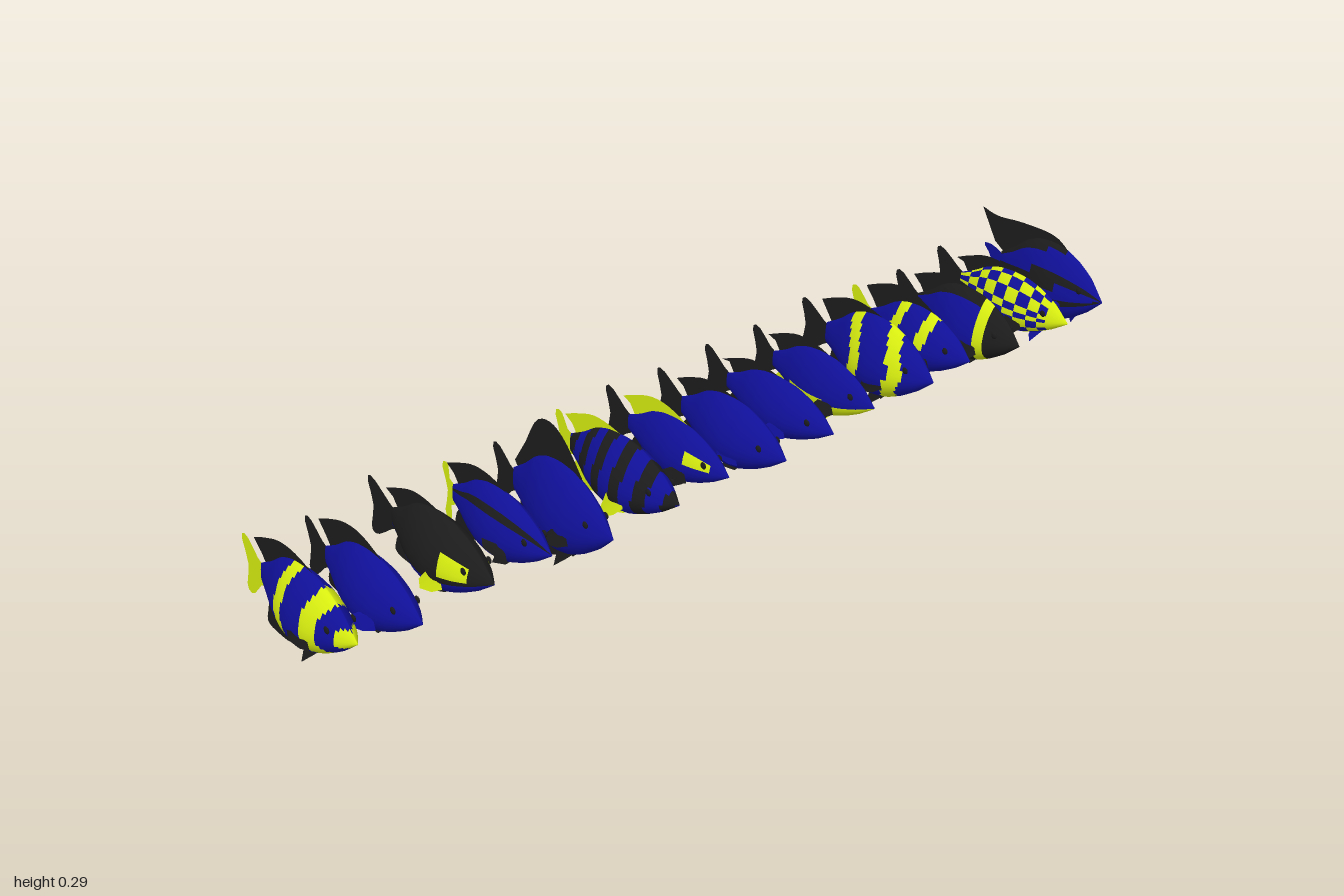
import * as THREE from 'three';

const mat = (color) => new THREE.MeshStandardMaterial({ color, side: THREE.DoubleSide });
const COLORS = { b: mat(0x10109a), y: mat(0xd8ee10), k: mat(0x1c1c1c) };
const KEYS = ['b', 'y', 'k'];
const RINGS = 48, SIDES = 28, TAIL_ROOT = -0.115;

// top, bottom and width fractions of the body from nose to tail root
const TOP = [0.02, 0.5, 0.78, 0.95, 1, 0.97, 0.82, 0.52, 0.28];
const BOTTOM = [0.02, 0.42, 0.72, 0.93, 1, 0.95, 0.75, 0.45, 0.25];
const WIDTH = [0.02, 0.5, 0.8, 0.97, 1, 0.9, 0.68, 0.38, 0.08];
const PROFILE = new THREE.CatmullRomCurve3(TOP.map((t, i) => new THREE.Vector3(t, BOTTOM[i], WIDTH[i])));

const within = (v, lo, hi) => v > lo && v < hi;

// markings: u runs nose to tail, v from -1 (belly) to 1 (back)
const MARKS = {
  plain: () => 'b',
  bands: (u, v) => {
    const s = u + 0.08 * v * v;
    return s < 0.13 || within(s, 0.25, 0.38) || within(s, 0.58, 0.68) ? 'y' : 'b';
  },
  mask: (u, v) => (within(u, 0.15, 0.36) && within(v, -0.2, 0.35) ? 'y' : v < -0.35 ? 'b' : 'k'),
  lines: (u, v) => (within(v, -0.1, 0.1) || within(v, 0.5, 0.65) ? 'k' : 'b'),
  bars: (u, v) => (Math.sin(u * 34 + v) > 0.1 ? 'k' : 'b'),
  cheek: (u, v) => (within(u, 0.12, 0.34) && within(v, -0.1, 0.35) ? 'y' : u > 0.1 && within(v, 0.35, 0.5) ? 'k' : 'b'),
  belly: (u, v) => (v < -0.45 + 0.3 * u && u < 0.75 ? 'y' : 'b'),
  chevrons: (u, v) => {
    const s = u - 0.1 * Math.abs(v);
    return within(s, 0.17, 0.29) || within(s, 0.53, 0.64) ? 'y' : 'b';
  },
  twoBands: (u, v) => (within(u + 0.06 * v, 0.36, 0.45) || within(u + 0.06 * v, 0.64, 0.74) ? 'y' : 'b'),
  collar: (u, v) => (within(u, 0.26, 0.33) ? 'y' : u < 0.26 || v < -0.7 || v > 0.75 ? 'k' : 'b'),
  checks: (u, v) => (u < 0.14 || (Math.floor(u * 10) + Math.floor(v * 3.5 + 10)) % 2 ? 'y' : 'b'),
  stripes: (u, v) => {
    const s = v + 0.25 * (u - 0.5);
    return within(s, 0.08, 0.36) || within(s, -0.45, -0.22) || (u > 0.35 && s > 0.85) ? 'k' : 'b';
  },
};

// x, nose z, tail z, body bottom, body top, half width, dorsal top, anal bottom,
// pectoral tip x and y, markings, colours of dorsal, tail, anal and pectoral fins
const FISH = [
  [-0.95, 0.166, -0.172, 0.085, 0.235, 0.046, 0.25, 0.05, 0.05, 0.12, 'bands', 'kykk'],
  [-0.825, 0.166, -0.176, 0.07, 0.212, 0.044, 0.235, 0.075, 0.06, 0.095, 'plain', 'kkkb'],
  [-0.685, 0.176, -0.188, 0.09, 0.232, 0.048, 0.24, 0.08, 0.055, 0.105, 'mask', 'kkky'],
  [-0.555, 0.166, -0.145, 0.09, 0.225, 0.04, 0.24, 0.08, 0.05, 0.13, 'lines', 'kykk'],
  [-0.42, 0.166, -0.176, 0.045, 0.225, 0.042, 0.295, 0.002, 0.05, 0.08, 'plain', 'kkkk'],
  [-0.285, 0.188, -0.16, 0.085, 0.232, 0.05, 0.24, 0.075, 0.055, 0.085, 'bars', 'yyyy'],
  [-0.145, 0.166, -0.182, 0.09, 0.21, 0.036, 0.228, 0.07, 0.045, 0.105, 'cheek', 'ykkk'],
  [-0.01, 0.176, -0.188, 0.068, 0.208, 0.044, 0.218, 0.065, 0.045, 0.1, 'plain', 'kkkb'],
  [0.11, 0.18, -0.182, 0.09, 0.21, 0.04, 0.218, 0.08, 0.053, 0.1, 'plain', 'kkkb'],
  [0.235, 0.166, -0.176, 0.09, 0.218, 0.034, 0.23, 0.08, 0.05, 0.095, 'belly', 'kkyk'],
  [0.385, 0.18, -0.188, 0.08, 0.248, 0.05, 0.26, 0.05, 0.05, 0.1, 'chevrons', 'kkkk'],
  [0.515, 0.16, -0.172, 0.088, 0.225, 0.042, 0.25, 0.06, 0.05, 0.1, 'twoBands', 'kykk'],
  [0.66, 0.166, -0.182, 0.065, 0.222, 0.044, 0.23, 0.06, 0.06, 0.07, 'collar', 'kkkk'],
  [0.795, 0.18, -0.188, 0.09, 0.218, 0.038, 0.228, 0.08, 0.05, 0.09, 'checks', 'kkkk'],
  [0.925, 0.166, -0.165, 0.07, 0.245, 0.038, 0.262, 0.055, 0.07, 0.035, 'stripes', 'kbbb'],
];

// lofted body, its faces grouped by marking colour
function makeBody(nose, mid, top, bottom, width, mark) {
  const pos = [], faces = { b: [], y: [], k: [] };
  for (let i = 0; i <= RINGS; i++) {
    const u = i / RINGS, f = PROFILE.getPoint(u);
    for (let j = 0; j < SIDES; j++) {
      const a = (j / SIDES) * Math.PI * 2, t = Math.cos(a);
      // section narrows to a ridge at the back, rounder at the belly
      const x = Math.sign(Math.sin(a)) * Math.pow(1 - t, 0.8) * Math.sqrt(1 + t) * 0.965;
      pos.push(width * f.z * x, mid + t * (t > 0 ? (top - mid) * f.x : (mid - bottom) * f.y),
        nose + (TAIL_ROOT - nose) * u);
    }
  }
  for (let i = 0; i < RINGS; i++) {
    for (let j = 0; j < SIDES; j++) {
      const k = (j + 1) % SIDES, a = i * SIDES, b = a + SIDES;
      const v = Math.cos(((j + 0.5) / SIDES) * Math.PI * 2);
      faces[mark((i + 0.5) / RINGS, v)].push(a + j, a + k, b + k, a + j, b + k, b + j);
    }
  }
  const geo = new THREE.BufferGeometry();
  geo.setAttribute('position', new THREE.Float32BufferAttribute(pos, 3));
  geo.setIndex(KEYS.flatMap((c) => faces[c]));
  let start = 0;
  KEYS.forEach((c, n) => {
    geo.addGroup(start, faces[c].length, n);
    start += faces[c].length;
  });
  geo.computeVertexNormals();
  const body = new THREE.Mesh(geo, KEYS.map((c) => COLORS[c]));
  body.name = 'body';
  return body;
}

// thin upright fin from (z, y) outline points
function flatFin(name, color, points) {
  const geo = new THREE.ShapeGeometry(new THREE.Shape(points.map((p) => new THREE.Vector2(...p))));
  geo.rotateY(-Math.PI / 2);
  const mesh = new THREE.Mesh(geo, COLORS[color]);
  mesh.name = name;
  return mesh;
}

// smooth outer edge through a few points
const edge = (points) =>
  new THREE.SplineCurve(points.map((p) => new THREE.Vector2(...p))).getPoints(14).map((p) => [p.x, p.y]);

// splayed fin on one side, as a fan of points
function sideFin(name, color, side, points) {
  const geo = new THREE.BufferGeometry().setFromPoints(points.map(([x, y, z]) => new THREE.Vector3(x * side, y, z)));
  geo.setIndex(points.slice(2).flatMap((_, i) => [0, i + 1, i + 2]));
  geo.computeVertexNormals();
  const mesh = new THREE.Mesh(geo, COLORS[color]);
  mesh.name = name;
  return mesh;
}

function makeFish([x, nose, tail, bottom, top, width, dorsal, anal, px, py, mark, fins], index) {
  const fish = new THREE.Group();
  fish.name = 'fish' + (index + 1);
  fish.position.x = x;
  const mid = bottom + 0.46 * (top - bottom);
  const tall = dorsal - top > 0.05, swept = mark === 'stripes';
  fish.add(makeBody(nose, mid, top, bottom, width, MARKS[mark]));

  // dorsal fin, swept back to a point on the last fish
  const dorsalEdge = swept
    ? [[0.08, top - 0.02], [0.03, dorsal - 0.003], [-0.06, dorsal], [-0.13, dorsal - 0.006], [-0.175, dorsal + 0.003]]
    : tall
      ? [[0.085, top - 0.01], [0.04, dorsal - 0.022], [0, dorsal], [-0.04, dorsal - 0.013], [-0.075, top]]
      : [[0.08, top - 0.015], [0.01, dorsal - 0.004], [-0.045, dorsal], [-0.095, dorsal - 0.015], [-0.13, dorsal - 0.03]];
  fish.add(flatFin('dorsalFin', fins[0],
    [...edge(dorsalEdge), [swept ? -0.135 : -0.11, mid + 0.045], [-0.09, mid + 0.015], [0.04, mid + 0.03]]));

  // anal fin
  const analEdge = tall
    ? [[0.03, bottom], [0, anal + 0.018], [-0.058, anal], [-0.092, anal + 0.018], [-0.105, anal + 0.055]]
    : [[0.0, bottom + 0.01], [-0.04, anal + 0.004], [-0.08, anal], [-0.115, anal + 0.008], [-0.11, anal + 0.035]];
  fish.add(flatFin('analFin', fins[2], [...edge(analEdge), [-0.095, mid - 0.015], [0, mid - 0.02]]));

  // tail fin with a shallow or deep notch
  const h = swept ? 0.034 : 0.058, notch = swept ? 0.022 : 0.012;
  fish.add(flatFin('tailFin', fins[1], [[-0.1, mid + 0.014],
    ...edge([[-0.125, mid + 0.028], [tail + 0.018, mid + h], [tail, mid + h * 0.86],
      [tail + notch, mid], [tail, mid - h * 0.86], [tail + 0.018, mid - h], [-0.125, mid - 0.028]]),
    [-0.1, mid - 0.014]]));

  for (const side of [1, -1]) {
    // paired fins
    fish.add(sideFin('pectoralFin', fins[3], side, [
      [width * 0.85, mid - 0.01, 0.075], [width * 0.9, mid - 0.035, 0.085],
      [(width + px) / 2, (mid + py) / 2 - 0.02, 0.065], [px, py, 0.035],
      [px * 0.95, py + 0.016, 0.03], [width, mid - 0.015, 0.045]]));
    fish.add(sideFin('pelvicFin', fins[2], side, [
      [0.006, bottom + 0.02, 0.075], [0.014, bottom - 0.004, 0.05],
      [0.022, Math.max(bottom - 0.03, anal), 0.02], [0.012, bottom + 0.015, 0.025]]));
    // eye
    const f = PROFILE.getPoint(0.17);
    const eye = new THREE.Mesh(new THREE.SphereGeometry(0.007, 12, 8), COLORS.k);
    eye.scale.x = 0.4;
    eye.position.set(side * width * f.z * 0.9, mid + (top - mid) * f.x * 0.3, nose + (TAIL_ROOT - nose) * 0.17);
    eye.name = 'eye';
    fish.add(eye);
  }
  return fish;
}

export function createModel() {
  const group = new THREE.Group();
  group.name = 'fishRow';
  FISH.forEach((spec, i) => group.add(makeFish(spec, i)));
  return group;
}
